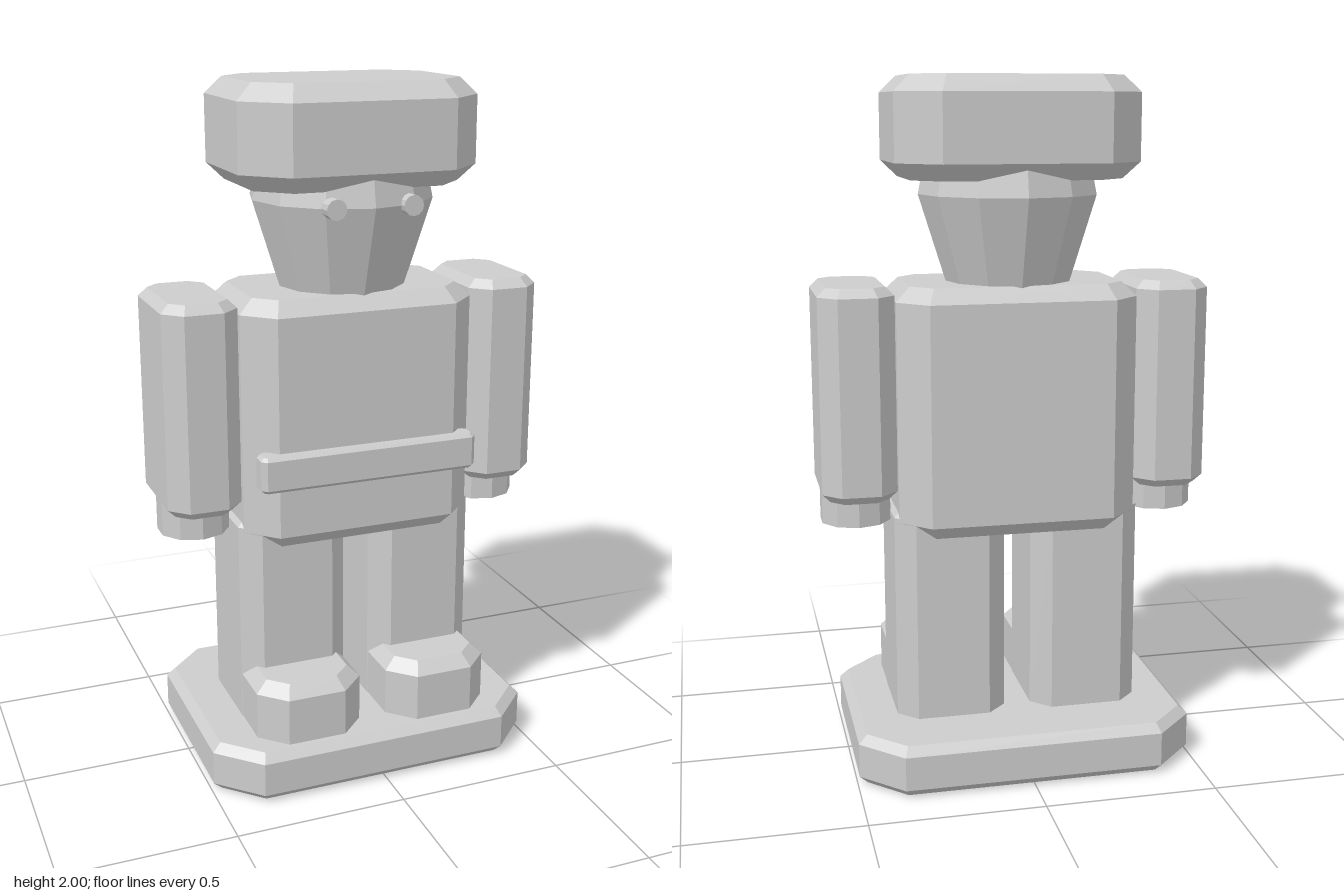
import * as THREE from 'three';

const grey = new THREE.MeshStandardMaterial({ color: 0xcccccc, flatShading: true });
grey.name = 'plain grey';

function add(parent, name, geometry, x = 0, y = 0, z = 0) {
  const mesh = new THREE.Mesh(geometry, grey);
  mesh.name = name;
  mesh.position.set(x, y, z);
  parent.add(mesh);
  return mesh;
}

// Block with an octagonal plan (corner cut c) and bevelled top and bottom rims (b)
function block(x0, x1, y0, y1, z0, z1, c, b) {
  const ring = (y, inset) => {
    const k = c - inset * (2 - Math.SQRT2);
    const l = x0 + inset, r = x1 - inset, n = z0 + inset, f = z1 - inset;
    return [[l + k, f], [r - k, f], [r, f - k], [r, n + k], [r - k, n], [l + k, n], [l, n + k], [l, f - k]]
      .map(([x, z]) => [x, y, z]);
  };
  const rings = [ring(y0, b), ring(y0 + b, 0), ring(y1 - b, 0), ring(y1, b)];
  const index = [];
  for (let r = 0; r < 3; r++) {
    for (let i = 0; i < 8; i++) {
      const a = r * 8 + i, d = r * 8 + (i + 1) % 8;
      index.push(a, d, d + 8, a, d + 8, a + 8);
    }
  }
  for (let i = 1; i < 7; i++) index.push(0, i + 1, i, 24, 24 + i, 25 + i);
  const indexed = new THREE.BufferGeometry();
  indexed.setAttribute('position', new THREE.Float32BufferAttribute(rings.flat(2), 3));
  indexed.setIndex(index);
  const geometry = indexed.toNonIndexed();
  geometry.computeVertexNormals();
  return geometry;
}

export function createModel() {
  const model = new THREE.Group();
  model.name = 'blockFigure';

  add(model, 'base', block(-0.495, 0.495, 0, 0.15, -0.376, 0.376, 0.118, 0.025));
  add(model, 'torso', block(-0.35, 0.35, 0.7, 1.422, -0.22, 0.22, 0.083, 0.042));
  add(model, 'belt', block(-0.328, 0.328, 0.89, 0.995, 0.18, 0.252, 0.015, 0.01));

  // Tapered twelve-sided head
  const headProfile = [[0, 1.39], [0.175, 1.39], [0.263, 1.67], [0.243, 1.77], [0, 1.77]]
    .map(([r, y]) => new THREE.Vector2(r, y));
  add(model, 'head', new THREE.LatheGeometry(headProfile, 12));
  add(model, 'hat', block(-0.35, 0.35, 1.715, 2, -0.266, 0.266, 0.115, 0.047));

  for (const side of [1, -1]) {
    const label = side > 0 ? 'left' : 'right';
    const limb = (x0, x1, ...rest) => block(side > 0 ? x0 : -x1, side > 0 ? x1 : -x0, ...rest);

    // Arm and hand
    add(model, label + 'Arm', limb(0.352, 0.568, 0.81, 1.424, -0.178, 0.178, 0.052, 0.025));
    add(model, label + 'Hand', new THREE.CylinderGeometry(0.105, 0.105, 0.12, 10), side * 0.462, 0.785, 0);

    // Leg and foot
    add(model, label + 'Leg', limb(0.04, 0.363, 0.12, 0.772, -0.178, 0.178, 0.055, 0.018));
    add(model, label + 'Foot', limb(0.042, 0.361, 0.1, 0.324, -0.02, 0.335, 0.073, 0.035));

    // Round eye
    add(model, label + 'Eye', new THREE.CylinderGeometry(0.029, 0.029, 0.06, 12), side * 0.112, 1.672, 0.233)
      .rotation.x = Math.PI / 2;
  }
  return model;
}
